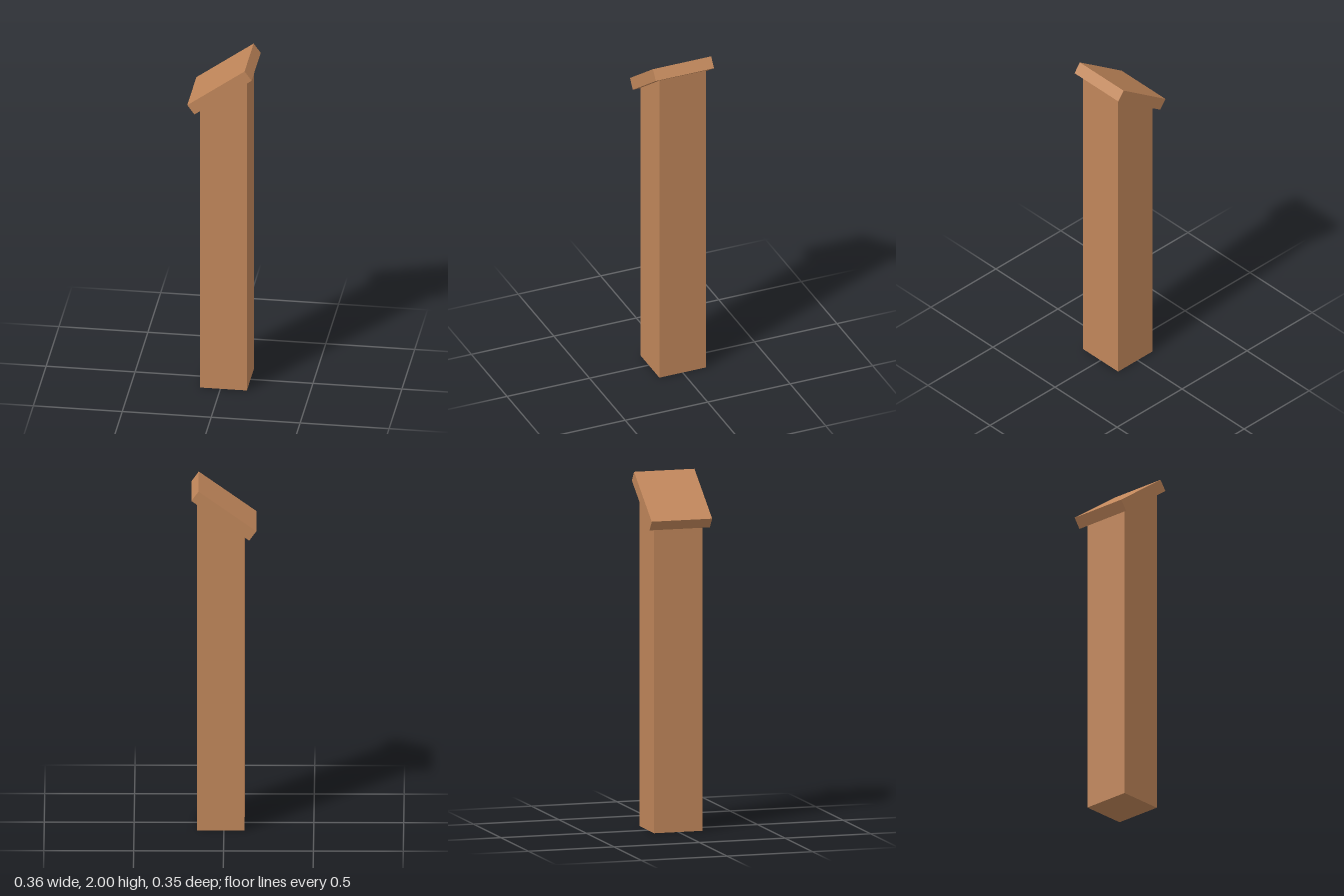
import * as THREE from 'three';

export function createModel() {
  const group = new THREE.Group();
  const wood = new THREE.MeshStandardMaterial({ color: 0xc0865a, flatShading: true });

  // Square post with its top cut to the slope of the cap
  const profile = new THREE.Shape([
    new THREE.Vector2(-0.115, 0),
    new THREE.Vector2(0.149, 0),
    new THREE.Vector2(0.149, 1.923),
    new THREE.Vector2(-0.115, 1.732),
  ]);
  const depth = 0.282;
  const postGeometry = new THREE.ExtrudeGeometry(profile, { depth, bevelEnabled: false });
  postGeometry.translate(0, 0, -depth / 2);
  const post = new THREE.Mesh(postGeometry, wood);
  post.name = 'post';
  group.add(post);

  // Tilted cap board overhanging the post on all sides
  const cap = new THREE.Mesh(new THREE.BoxGeometry(0.397, 0.068, 0.353), wood);
  cap.name = 'slantedCap';
  cap.position.set(0, 1.856, 0);
  cap.rotation.z = Math.atan2(0.232, 0.322);
  group.add(cap);

  return group;
}
